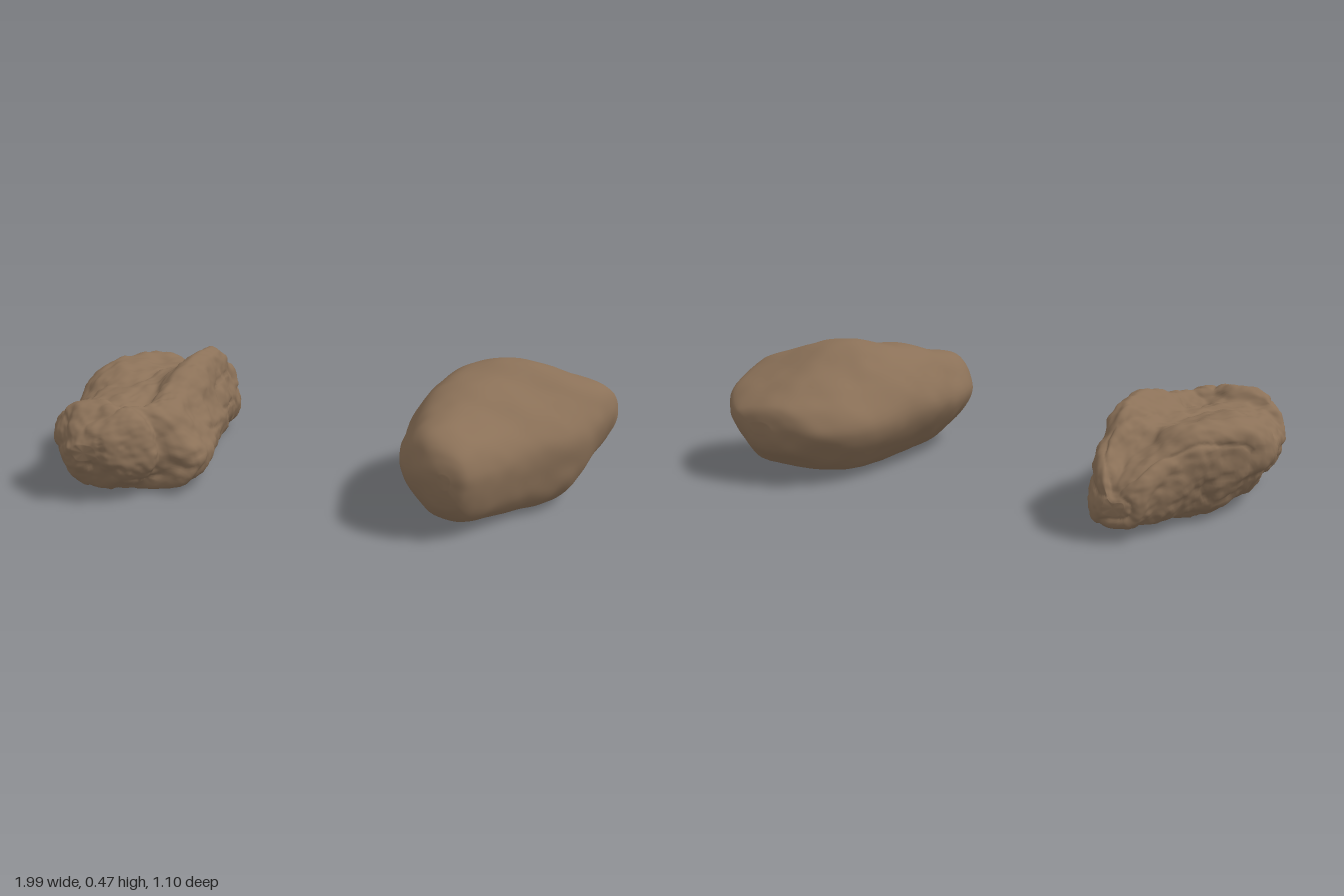
import * as THREE from 'three';

// Repeatable lattice value noise, result in -1..1
function hash(x, y, z) {
  const s = Math.sin(x * 127.1 + y * 311.7 + z * 74.7) * 43758.5453;
  return (s - Math.floor(s)) * 2 - 1;
}
function noise(x, y, z) {
  const ix = Math.floor(x), iy = Math.floor(y), iz = Math.floor(z);
  const ease = (t) => t * t * (3 - 2 * t);
  const fx = ease(x - ix), fy = ease(y - iy), fz = ease(z - iz);
  let sum = 0;
  for (let k = 0; k < 8; k++) {
    const a = k & 1, b = (k >> 1) & 1, c = k >> 2;
    sum += hash(ix + a, iy + b, iz + c) * (a ? fx : 1 - fx) * (b ? fy : 1 - fy) * (c ? fz : 1 - fz);
  }
  return sum;
}

const outlineCurve = (pts) =>
  new THREE.CatmullRomCurve3(pts.map(([u, v]) => new THREE.Vector3(u, v, 0)), true, 'centripetal');

// Smooth blend through the table rows
function sampleRows(rows, t) {
  const i = Math.min(Math.floor(t), rows.length - 2), f = t - i;
  const at = (k) => rows[THREE.MathUtils.clamp(k, 0, rows.length - 1)];
  return rows[0].map((_, c) => {
    const p0 = at(i - 1)[c], p1 = at(i)[c], p2 = at(i + 1)[c], p3 = at(i + 2)[c];
    const m1 = (p2 - p0) / 2, m2 = (p3 - p1) / 2;
    return p1 + f * (m1 + f * (3 * (p2 - p1) - 2 * m1 - m2 + f * (2 * (p1 - p2) + m1 + m2)));
  });
}

// Loft of closed outlines along z; row = [z, xMin, xMax, yMin, yMax, outline index]
function rockGeometry(rows, outlines, around, steps, relief) {
  const curves = outlines.map(outlineCurve);
  const rings = (rows.length - 1) * steps + 1;
  const pos = [], index = [];
  const a = new THREE.Vector3(), b = new THREE.Vector3();
  for (let i = 0; i < rings; i++) {
    const [z, x0, x1, y0, y1, w] = sampleRows(rows, i / steps);
    const k = THREE.MathUtils.clamp(Math.floor(w), 0, curves.length - 2);
    for (let j = 0; j < around; j++) {
      curves[k].getPoint(j / around, a);
      curves[k + 1].getPoint(j / around, b);
      a.lerp(b, THREE.MathUtils.clamp(w - k, 0, 1));
      pos.push(x0 + a.x * (x1 - x0), y0 + a.y * (y1 - y0), z);
    }
  }
  for (let i = 0; i < rings - 1; i++) {
    for (let j = 0; j < around; j++) {
      const p = i * around + j, q = i * around + (j + 1) % around;
      index.push(p, p + around, q, q, p + around, q + around);
    }
  }
  // Close both ends
  [rows[0], rows[rows.length - 1]].forEach((r, end) => {
    const c = pos.length / 3, base = end * (rings - 1) * around;
    pos.push((r[1] + r[2]) / 2, (r[3] + r[4]) / 2, r[0]);
    for (let j = 0; j < around; j++) {
      const p = base + j, q = base + (j + 1) % around;
      if (end) index.push(c, q, p); else index.push(c, p, q);
    }
  });
  const geo = new THREE.BufferGeometry();
  geo.setAttribute('position', new THREE.Float32BufferAttribute(pos, 3));
  geo.setIndex(index);
  geo.computeVertexNormals();
  // Surface relief along the normals
  const p = geo.attributes.position, n = geo.attributes.normal;
  for (let i = 0; i < p.count; i++) {
    a.fromBufferAttribute(p, i);
    b.fromBufferAttribute(n, i);
    a.addScaledVector(b, relief(a.x, a.y, a.z));
    p.setXYZ(i, a.x, Math.max(a.y, 0), a.z);
  }
  geo.computeVertexNormals();
  return geo;
}

// Smooth boulder: high shoulder and undercut at the back, sloping top and upright side at the front
const smoothOutlines = [
  [[0, .48], [.1, .78], [.25, .93], [.44, 1], [.7, .94], [.955, .82], [1, .65], [.96, .42], [.86, .2], [.74, .02], [.27, .01], [.1, .2]],
  [[0, .5], [.08, .78], [.2, .95], [.4, 1], [.64, .93], [.86, .78], [1, .6], [.985, .34], [.93, .14], [.82, .015], [.34, .02], [.12, .24]],
  [[0, .55], [.09, .8], [.22, .95], [.42, 1], [.66, .95], [.88, .83], [1, .6], [.98, .38], [.9, .15], [.74, .01], [.4, .04], [.15, .27]],
];
const smoothRows = [
  [-.537, .66, .75, .19, .23, 0],
  [-.527, .58, .8, .15, .27, 0],
  [-.495, .49, .86, .11, .3, 0],
  [-.4, .4, .95, .05, .355, 0],
  [-.3, .36, .99, .02, .405, 0],
  [-.2, .338, .99, .01, .455, 0],
  [-.1, .328, .967, .004, .472, .3],
  [0, .317, .928, .005, .45, .8],
  [.1, .318, .87, .01, .432, 1],
  [.2, .33, .785, .015, .4, 1.2],
  [.3, .35, .722, .025, .377, 1.7],
  [.4, .385, .672, .05, .355, 2],
  [.46, .44, .635, .095, .32, 2],
  [.485, .49, .61, .14, .28, 2],
  [.495, .53, .57, .19, .24, 2],
];

// Rugged rock: grooved slab with a ridge, dipping before a rounded lobe at the front
const ruggedOutlines = [
  [[0, .66], [.09, .85], [.28, .86], [.52, .79], [.64, .86], [.77, 1], [.88, .93], [.95, .65], [1, .36], [.9, .08], [.3, .02], [.09, .3]],
  [[0, .5], [.07, .68], [.2, .85], [.42, .9], [.55, .82], [.67, .97], [.77, .94], [.89, .67], [1, .35], [.87, .06], [.25, .02], [.08, .25]],
  [[0, .5], [.05, .76], [.17, .94], [.42, 1], [.65, .98], [.82, .94], [.94, .8], [1, .55], [.97, .25], [.8, .06], [.27, .02], [.09, .22]],
];
const ruggedRows = [
  [-.54, -.7, -.63, .09, .14, 0],
  [-.53, -.73, -.6, .06, .175, 0],
  [-.495, -.76, -.57, .045, .22, 0],
  [-.42, -.79, -.535, .035, .275, 0],
  [-.35, -.835, -.515, .025, .33, 0],
  [-.29, -.87, -.505, .02, .38, 0],
  [-.22, -.91, -.49, .015, .392, 0],
  [-.12, -.97, -.462, .01, .392, .1],
  [0, -.99, -.435, .01, .38, .35],
  [.1, -.97, -.41, .01, .355, .7],
  [.2, -.945, -.38, .01, .335, 1],
  [.28, -.935, -.37, .01, .325, 1],
  [.34, -.925, -.4, .01, .32, 1.15],
  [.375, -.915, -.505, .015, .33, 1.8],
  [.43, -.88, -.505, .035, .328, 2],
  [.48, -.84, -.55, .06, .295, 2],
  [.52, -.8, -.61, .11, .255, 2],
  [.54, -.75, -.67, .16, .215, 2],
];

const smoothRelief = (x, y, z) => noise(x * 7, y * 7, z * 7) * .006 + noise(x * 17, y * 17, z * 17) * .003;
const ruggedRelief = (x, y, z) => {
  const crack = 1 - Math.abs(noise(x * 9 + 3, y * 9, z * 5));
  return noise(x * 13, y * 13, z * 11) * .01 + noise(x * 30, y * 30, z * 28) * .006
    + noise(x * 60, y * 60, z * 60) * .003 - Math.pow(crack, 10) * .01 + .003;
};

export function createModel() {
  const stone = new THREE.MeshStandardMaterial({ color: 0x8b7158 });
  stone.name = 'brown stone';
  const group = new THREE.Group();
  group.name = 'rocks';
  const add = (name, geo) => {
    const mesh = new THREE.Mesh(geo, stone);
    mesh.name = name;
    group.add(mesh);
  };
  add('smoothBoulder', rockGeometry(smoothRows, smoothOutlines, 72, 6, smoothRelief));
  add('ruggedRock', rockGeometry(ruggedRows, ruggedOutlines, 132, 7, ruggedRelief));
  return group;
}
